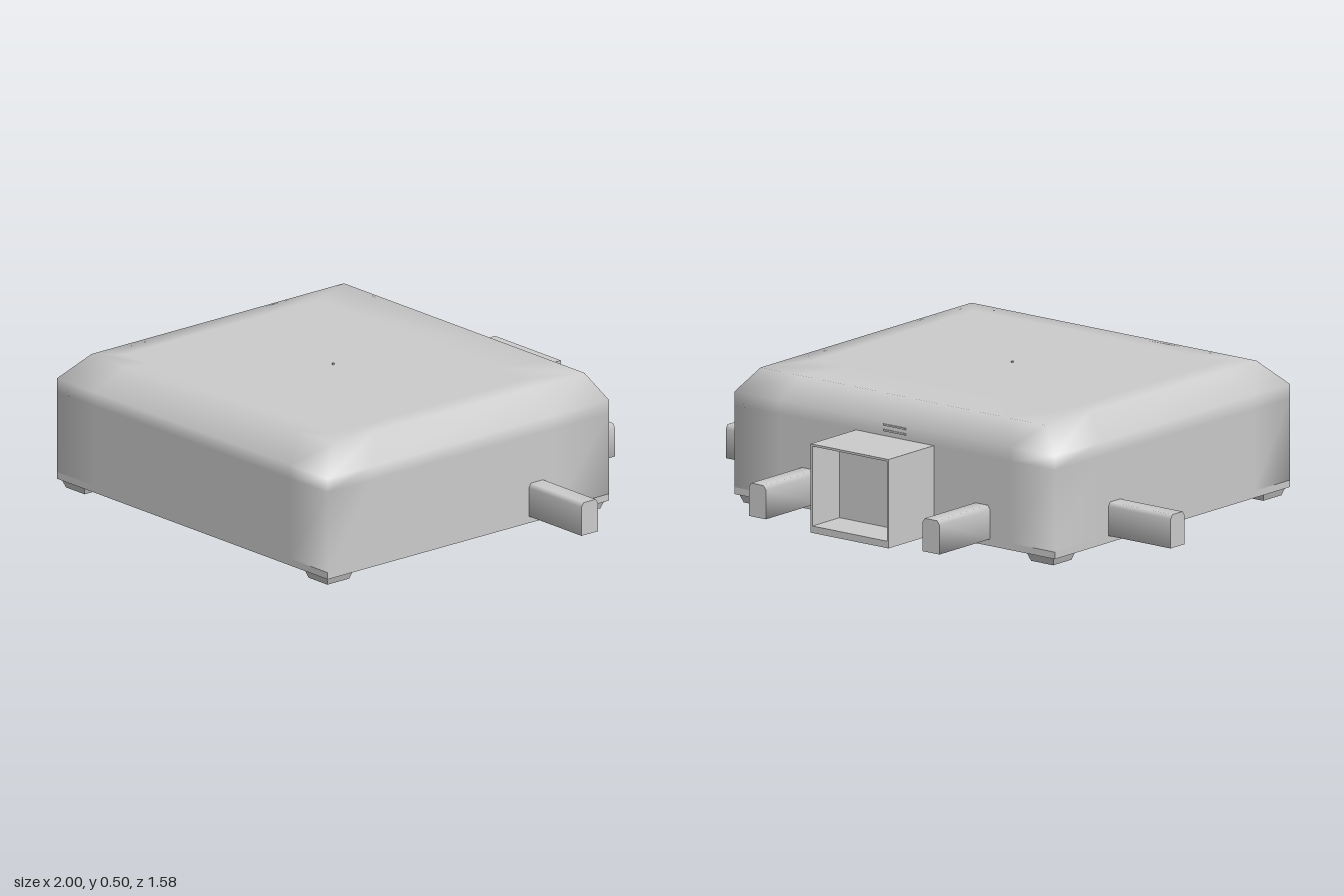
import * as THREE from 'three';

const shell = new THREE.MeshStandardMaterial({ color: 0xcccccc });
shell.name = 'light grey plastic';

// Smooth skin through equal-length rings, with separate flat caps unless capTop is 'smooth'
function loft(rings, capTop) {
  const n = rings[0].length, pos = [], idx = [];
  rings.forEach(r => r.forEach(p => pos.push(...p)));
  for (let k = 0; k < rings.length - 1; k++) {
    for (let i = 0; i < n; i++) {
      const a = k * n + i, b = k * n + (i + 1) % n;
      idx.push(a, b, b + n, a, b + n, a + n);
    }
  }
  const cap = (ring, flip, base) => {
    for (let i = 1; i < n - 1; i++) {
      idx.push(base, base + (flip ? i + 1 : i), base + (flip ? i : i + 1));
    }
  };
  const addCap = (ring, flip) => {
    const base = pos.length / 3;
    ring.forEach(p => pos.push(...p));
    cap(ring, flip, base);
  };
  addCap(rings[0], true);
  const last = rings[rings.length - 1];
  if (capTop === 'smooth') cap(last, false, (rings.length - 1) * n);
  else addCap(last, false);
  const g = new THREE.BufferGeometry();
  g.setAttribute('position', new THREE.Float32BufferAttribute(pos, 3));
  g.setIndex(idx);
  g.computeVertexNormals();
  return g;
}

// Rectangle with support points near the corners, which keeps the walls flat in the middle
function bodyRing(y, x, front, back) {
  const xs = x * 0.72, f = front - 0.2, b = back + 0.25;
  return [[-xs, y, front], [xs, y, front], [x, y, front], [x, y, f], [x, y, b], [x, y, back],
    [xs, y, back], [-xs, y, back], [-x, y, back], [-x, y, b], [-x, y, f], [-x, y, front]];
}

export function createModel() {
  const model = new THREE.Group();
  const add = (name, geometry, x = 0, y = 0, z = 0) => {
    const m = new THREE.Mesh(geometry, shell);
    m.name = name;
    m.position.set(x, y, z);
    model.add(m);
    return m;
  };
  // Box given by its limits on each axis
  const box = (name, x0, x1, y0, y1, z0, z1) => add(name,
    new THREE.BoxGeometry(x1 - x0, y1 - y0, z1 - z0), (x0 + x1) / 2, (y0 + y1) / 2, (z0 + z1) / 2);

  // Main housing with a sloped upper edge
  add('housing', loft([
    bodyRing(0.055, 0.72, 0.79, -0.51),
    bodyRing(0.35, 0.72, 0.79, -0.51),
    bodyRing(0.40, 0.72, 0.79, -0.51),
    bodyRing(0.49, 0.64, 0.70, -0.465),
    bodyRing(0.491, 0.56, 0.62, -0.27),
  ], 'smooth'));

  // Bottom plate with its tongue under the socket
  box('basePlate', -0.72, 0.72, 0.03, 0.055, -0.51, 0.79);
  box('socketFloor', -0.175, 0.175, 0.03, 0.055, -0.76, -0.51);

  // Rear socket, open to the back
  for (const s of [-1, 1]) {
    box('socketWall', s * 0.171 - 0.004, s * 0.171 + 0.004, 0.055, 0.35, -0.76, -0.5);
  }
  box('socketRoof', -0.175, 0.175, 0.342, 0.35, -0.76, -0.5);
  box('socketEnd', -0.168, 0.168, 0.055, 0.342, -0.61, -0.6);

  // Pegs: two on the back, one on each side
  const profile = [[-0.038, 0.055], [0.038, 0.055], [0.038, 0.16], [0.028, 0.175], [-0.028, 0.175], [-0.038, 0.16]];
  const peg = length => loft([0, length].map(z => profile.map(([x, y]) => [x, y, z])));
  for (const s of [-1, 1]) {
    add('backPeg', peg(0.29), s * 0.39, 0, -0.5).rotation.y = Math.PI;
    add('sidePeg', peg(0.29), s * 0.71, 0, -0.177).rotation.y = s * Math.PI / 2;
  }

  // Tapered feet
  const footRing = (y, r) => [[-r, y, r], [r, y, r], [r, y, -r], [-r, y, -r]];
  const foot = loft([footRing(0, 0.05), footRing(0.031, 0.061)]).toNonIndexed();
  foot.computeVertexNormals();
  for (const x of [-0.646, 0.646]) for (const z of [0.72, -0.44]) add('foot', foot, x, 0, z);

  // Small details: top pin, rear slits, underside tab
  box('topPin', -0.003, 0.003, 0.485, 0.497, 0.137, 0.143);
  for (const y of [0.37, 0.39]) box('rearSlit', -0.05, 0.05, y - 0.003, y + 0.003, -0.514, -0.508);
  box('undersideTab', -0.06, 0.06, 0.026, 0.031, 0.085, 0.2);

  return model;
}
